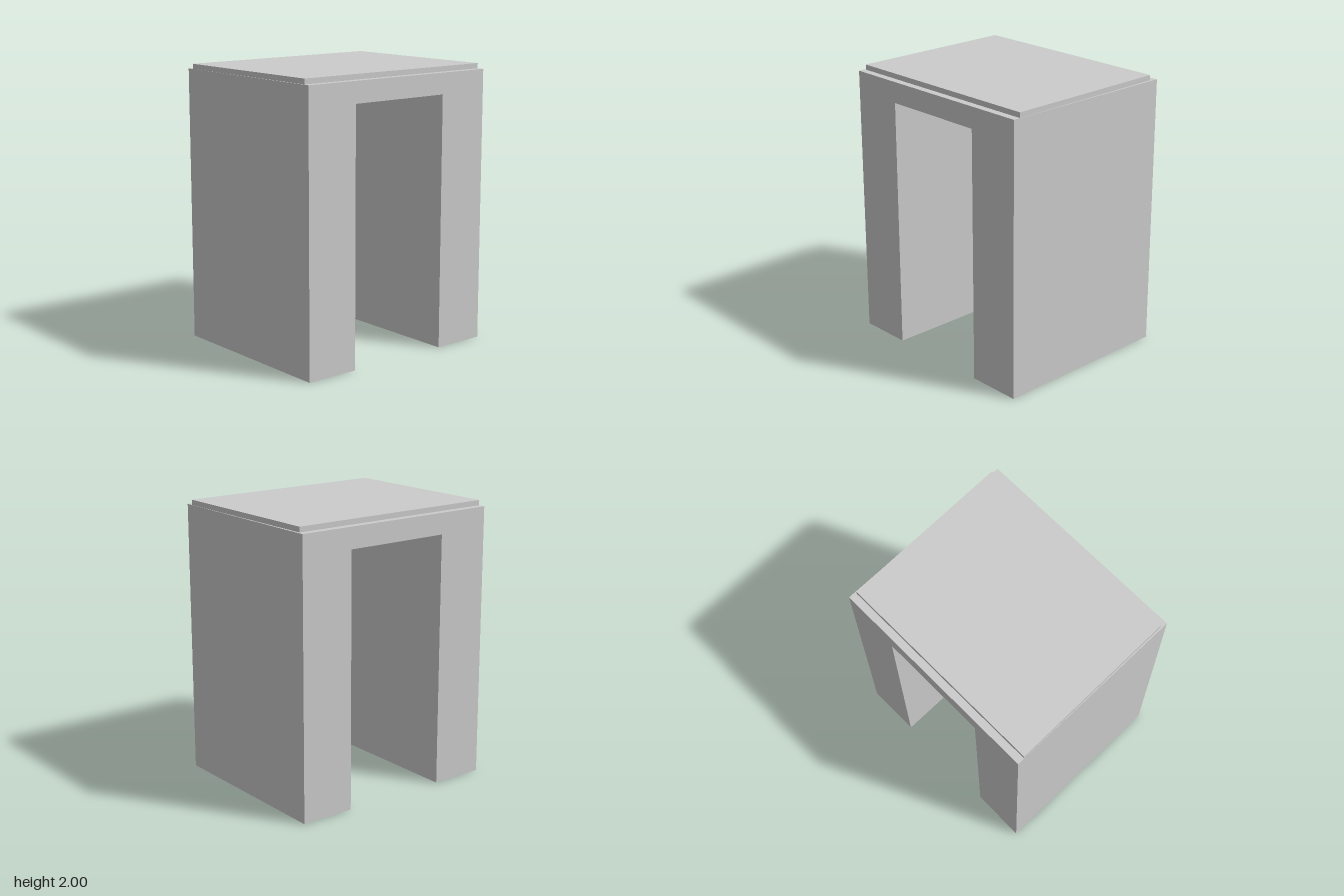
import * as THREE from 'three';

const material = new THREE.MeshStandardMaterial({ color: 0xcccccc, flatShading: true });

function shapeFrom(points) {
  return new THREE.Shape(points.map(([x, y]) => new THREE.Vector2(x, y)));
}

function extrude(points, depth) {
  return new THREE.ExtrudeGeometry(shapeFrom(points), { depth, bevelEnabled: false });
}

export function createModel() {
  const group = new THREE.Group();
  group.name = 'archway';

  // Two thick walls joined by a lintel, as one portal profile
  const bodyTop = 1.963, halfWidth = 0.787, halfOpening = 0.393, openingTop = 1.813, halfDepth = 0.675;
  const body = new THREE.Mesh(extrude([
    [-halfWidth, 0], [-halfOpening, 0], [-halfOpening, openingTop], [halfOpening, openingTop],
    [halfOpening, 0], [halfWidth, 0], [halfWidth, bodyTop], [-halfWidth, bodyTop],
  ], 2 * halfDepth), material);
  body.name = 'portalBody';
  body.position.z = -halfDepth;
  group.add(body);

  // Thin, slightly skewed cap slab, set back at the front and rear
  const slabGeometry = extrude([
    [-0.777, -0.622], [0.785, -0.622], [0.77, 0.622], [-0.786, 0.622],
  ], 2 - bodyTop);
  slabGeometry.rotateX(-Math.PI / 2);
  const slab = new THREE.Mesh(slabGeometry, material);
  slab.name = 'capSlab';
  slab.position.y = bodyTop;
  group.add(slab);

  return group;
}
